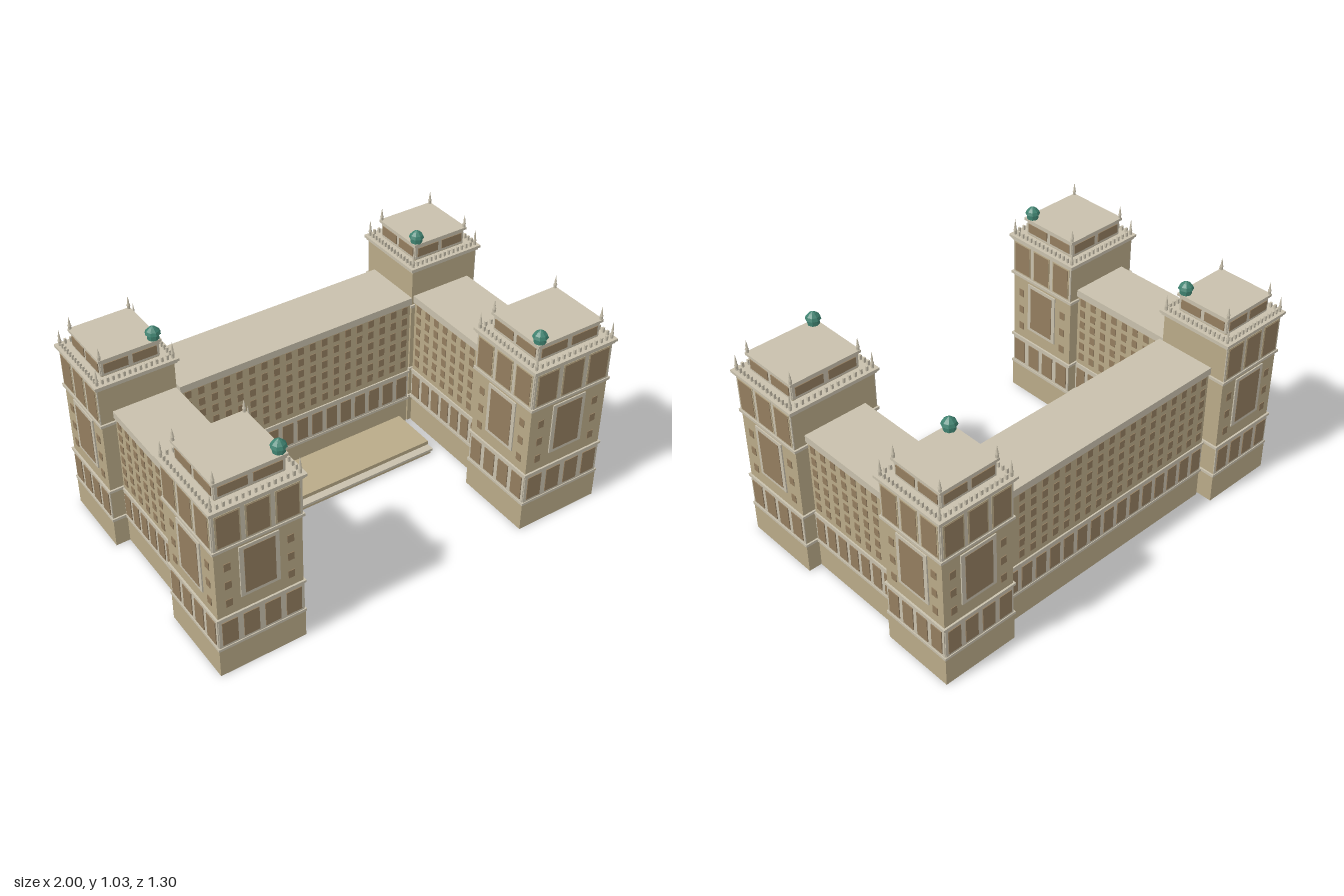
import * as THREE from 'three';

const mat = (name, color) => {
  const m = new THREE.MeshStandardMaterial({ color, side: THREE.DoubleSide });
  m.name = name;
  return m;
};

export function createModel() {
  const wall = mat('tan stone', 0xb9aa88);
  const trim = mat('pale trim', 0xc8c0ac);
  const glass = mat('brown panes', 0x937d5f);
  const copper = mat('green copper', 0x3f8270);
  const root = new THREE.Group();
  root.name = 'palaceBuilding';

  const group = (parent, name) => {
    const g = new THREE.Group();
    g.name = name;
    parent.add(g);
    return g;
  };

  // Box given by its limits on each axis
  const block = (parent, name, m, x0, x1, y0, y1, z0, z1) => {
    const mesh = new THREE.Mesh(new THREE.BoxGeometry(x1 - x0, y1 - y0, z1 - z0), m);
    mesh.position.set((x0 + x1) / 2, (y0 + y1) / 2, (z0 + z1) / 2);
    mesh.name = name;
    parent.add(mesh);
    return mesh;
  };

  // Walls of a hollow base, open above and below
  const skirt = (parent, name, ...limits) => {
    const mesh = block(parent, name, wall, ...limits);
    const g = mesh.geometry;
    const idx = Array.from(g.index.array);
    g.setIndex([...idx.slice(0, 12), ...idx.slice(24)]);
    g.clearGroups();
    return mesh;
  };

  // Facade frame: local x along the wall, z outwards
  const facade = (parent, side, [x0, x1, z0, z1]) => {
    const f = group(parent, side + 'Facade');
    const cx = (x0 + x1) / 2, cz = (z0 + z1) / 2;
    const [x, z, turn] = {
      front: [cx, z1, 0], back: [cx, z0, Math.PI],
      left: [x1, cz, Math.PI / 2], right: [x0, cz, -Math.PI / 2],
    }[side];
    f.position.set(x, 0, z);
    f.rotation.y = turn;
    const width = side === 'front' || side === 'back' ? x1 - x0 : z1 - z0;
    return { f, width };
  };
  const plate = (f, name, m, cx, w, y0, y1, out) =>
    block(f, name, m, cx - w / 2, cx + w / 2, y0, y1, 0, out);

  // Row of tall panes on a pale band
  const paneRow = (f, width, count, y0, y1, fill, framed) => {
    plate(f, 'paneBand', trim, 0, width, y0, y1, 0.004);
    const step = width / count;
    for (let i = 0; i < count; i++) {
      const x = (i + 0.5) * step - width / 2;
      if (framed) plate(f, 'paneSurround', wall, x, step * fill + 0.014, y0 + 0.008, y1 - 0.008, 0.006);
      plate(f, 'pane', glass, x, step * fill, y0 + 0.014, y1 - 0.014, 0.008);
    }
  };

  // Rectangle shrunk by d
  const inset = ([x0, x1, z0, z1], d) => [x0 + d, x1 - d, z0 + d, z1 - d];
  const slab = (parent, name, m, [x0, x1, z0, z1], y0, y1) =>
    block(parent, name, m, x0, x1, y0, y1, z0, z1);
  const corners = ([x0, x1, z0, z1]) => [[x0, z0], [x1, z0], [x0, z1], [x1, z1]];

  const spireProfile = [[0.007, 0], [0.007, 0.018], [0.009, 0.02], [0.005, 0.03], [0.005, 0.04], [0, 0.075]]
    .map(([r, y]) => new THREE.Vector2(r, y));
  const spireGeo = new THREE.LatheGeometry(spireProfile, 6);
  const spire = (parent, x, y, z, s) => {
    const mesh = new THREE.Mesh(spireGeo, trim);
    mesh.name = 'spire';
    mesh.position.set(x, y, z);
    mesh.scale.set(1, s, 1);
    parent.add(mesh);
  };

  const domeProfile = [[0.027, 0], [0.027, 0.026], [0.035, 0.026], [0.029, 0.04], [0.015, 0.053], [0, 0.062]]
    .map(([r, y]) => new THREE.Vector2(r, y));
  const domeGeo = new THREE.LatheGeometry(domeProfile, 8).toNonIndexed();
  domeGeo.computeVertexNormals();

  // Corner tower: rect is the outline of its cornice
  const tower = (name, rect, sides, dome) => {
    const t = group(root, name);
    const body = inset(rect, 0.017), base = inset(rect, 0.012);
    const [bx0, bx1, bz0, bz1] = base;
    skirt(t, 'towerBase', bx0, bx1, 0, 0.14, bz0, bz1);
    slab(t, 'towerBody', wall, body, 0.14, 0.86);
    slab(t, 'baseBand', trim, inset(rect, 0.009), 0.14, 0.153);
    slab(t, 'arcadeBand', trim, inset(rect, 0.008), 0.303, 0.315);
    slab(t, 'atticBand', trim, inset(rect, 0.008), 0.66, 0.673);
    slab(t, 'lowerCornice', trim, inset(rect, 0.007), 0.852, 0.863);
    slab(t, 'cornice', trim, rect, 0.863, 0.875);

    for (const side of sides) {
      const { f, width } = facade(t, side, body);
      paneRow(f, width, 4, 0.153, 0.303, 0.72, false);
      paneRow(f, width, 3, 0.673, 0.852, 0.74, true);
      plate(f, 'largeWindowFrame', trim, 0, 0.18, 0.383, 0.643, 0.006);
      plate(f, 'largeWindow', glass, 0, 0.14, 0.4, 0.627, 0.008);
      for (const x of [-1, 1]) for (const y of [0.38, 0.475, 0.57])
        plate(f, 'smallWindow', glass, x * width * 0.36, 0.03, y - 0.019, y + 0.019, 0.003);
    }

    // Balustrade with posts and corner spires
    const rail = inset(rect, 0.02);
    const [x0, x1, z0, z1] = rail;
    const n = 14;
    for (let i = 0; i <= n; i++) {
      const x = x0 + (x1 - x0) * i / n, z = z0 + (z1 - z0) * i / n;
      for (const [px, pz] of [[x, z0], [x, z1], [x0, z], [x1, z]])
        block(t, 'balustradePost', trim, px - 0.005, px + 0.005, 0.875, 0.898, pz - 0.005, pz + 0.005);
    }
    for (const [x, z] of corners(rail)) spire(t, x, 0.875, z, 1.07);

    // Penthouse, roof spires and dome
    const pent = inset(rect, 0.062), cap = inset(rect, 0.05);
    slab(t, 'penthouse', wall, pent, 0.875, 0.952);
    slab(t, 'penthouseRoof', trim, cap, 0.952, 0.964);
    for (const side of ['front', 'back', 'left', 'right']) {
      const { f, width } = facade(t, side, pent);
      paneRow(f, width, 2, 0.88, 0.952, 0.84, false);
    }
    for (const [x, z] of corners(inset(cap, 0.008)))
      if (Math.hypot(x - dome[0], z - dome[1]) > 0.08) spire(t, x, 0.964, z, 0.82);
    const d = new THREE.Mesh(domeGeo, copper);
    d.name = 'copperDome';
    d.position.set(dome[0], 0.964, dome[1]);
    t.add(d);
  };

  tower('frontRightTower', [-1, -0.57, 0.235, 0.65], ['front', 'left', 'right'], [-0.645, 0.57]);
  tower('frontLeftTower', [0.545, 1, 0.24, 0.65], ['front', 'left', 'right'], [0.62, 0.575]);
  tower('backRightTower', [-1, -0.61, -0.65, -0.265], ['back', 'right'], [-0.685, -0.34]);
  tower('backLeftTower', [0.595, 0.99, -0.65, -0.27], ['back', 'left'], [0.67, -0.345]);

  // Wing: long block with a window grid on two sides
  const wing = (name, rect, sides, columns, bays) => {
    const w = group(root, name);
    const [x0, x1, z0, z1] = rect;
    skirt(w, 'wingBase', x0, x1, 0, 0.14, z0, z1);
    slab(w, 'wingBody', wall, rect, 0.14, 0.69);
    slab(w, 'wingBaseBand', trim, inset(rect, -0.007), 0.14, 0.153);
    slab(w, 'wingArcadeBand', trim, inset(rect, -0.007), 0.298, 0.31);
    slab(w, 'wingParapet', trim, inset(rect, -0.006), 0.687, 0.722);
    for (const side of sides) {
      const { f, width } = facade(w, side, rect);
      paneRow(f, width, bays, 0.153, 0.298, 0.7, false);
      const step = width / columns;
      for (let c = 0; c < columns; c++) for (let r = 0; r < 6; r++) {
        const y = 0.357 + r * 0.061;
        plate(f, 'wingWindow', glass, (c + 0.5) * step - width / 2, 0.03, y - 0.019, y + 0.019, 0.003);
      }
    }
  };
  wing('backWing', [-0.61, 0.596, -0.565, -0.277], ['front', 'back'], 19, 15);
  wing('rightWing', [-0.92, -0.635, -0.277, 0.25], ['left', 'right'], 8, 7);
  wing('leftWing', [0.625, 0.925, -0.277, 0.25], ['left', 'right'], 8, 7);

  // Stepped courtyard terrace
  const terrace = group(root, 'courtyardTerrace');
  block(terrace, 'terraceFloor', wall, -0.578, 0.555, 0.03, 0.05, -0.277, -0.043);
  block(terrace, 'terraceStep', trim, -0.578, 0.555, 0.018, 0.03, -0.277, -0.005);
  skirt(terrace, 'terraceBase', -0.572, 0.549, 0, 0.018, -0.277, -0.012);

  return root;
}
